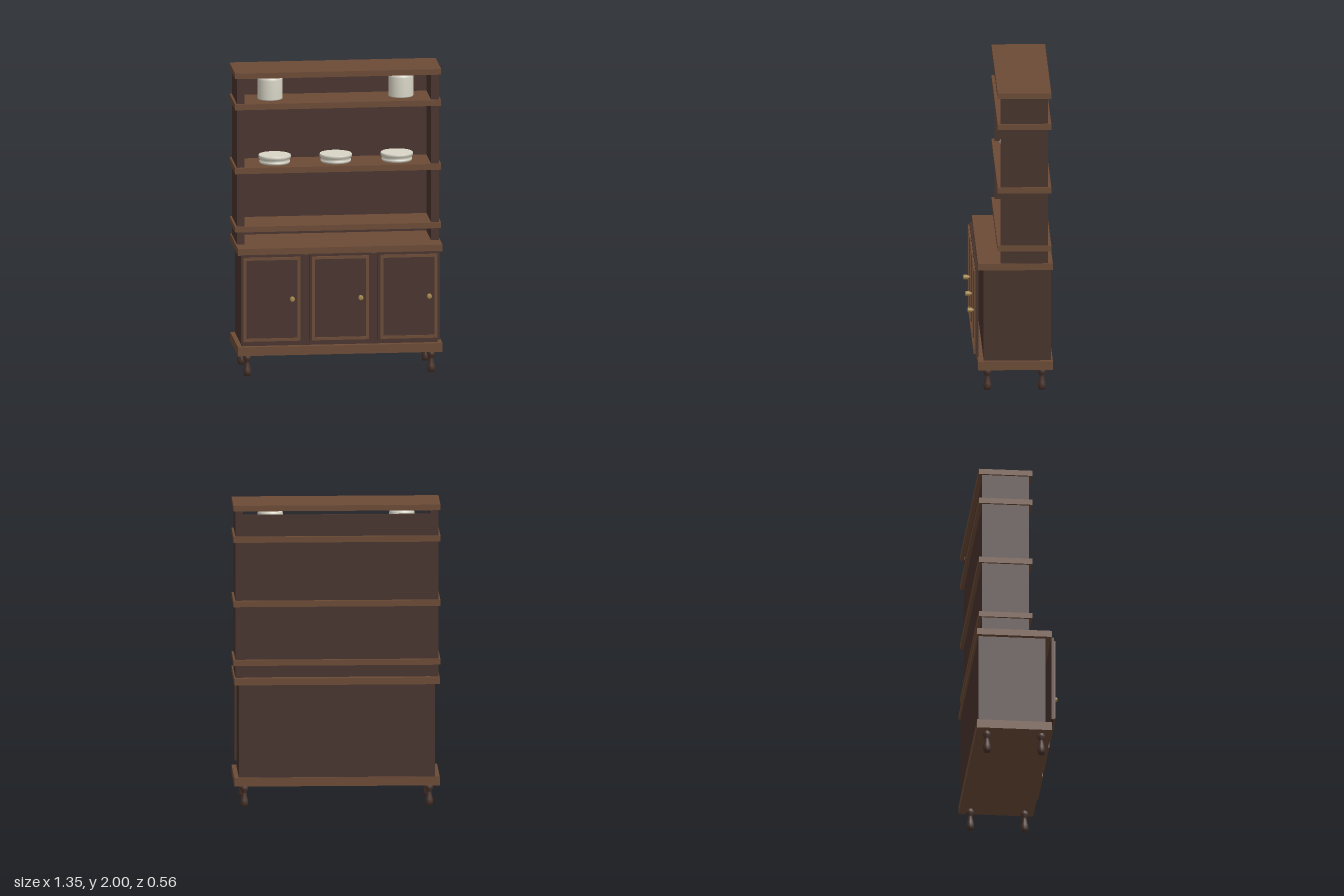
import * as THREE from 'three';

export function createModel() {
  const root = new THREE.Group();
  root.name = 'dresser';
  const mat = (color, opts = {}) => new THREE.MeshStandardMaterial({ color, ...opts });
  const lightWood = mat(0x6b4a35);
  const darkWood = mat(0x47322b);
  const brass = mat(0xa3854a);
  const ceramic = mat(0xd8d5c6);

  const add = (name, geo, material, x = 0, y = 0, z = 0, parent = root) => {
    const m = new THREE.Mesh(geo, material);
    m.name = name;
    m.position.set(x, y, z);
    parent.add(m);
    return m;
  };
  // Box given by its minimum and maximum on each axis
  const box = (name, material, [x0, x1], [y0, y1], [z0, z1], parent = root) =>
    add(name, new THREE.BoxGeometry(x1 - x0, y1 - y0, z1 - z0), material,
      (x0 + x1) / 2, (y0 + y1) / 2, (z0 + z1) / 2, parent);
  const lathe = (points, sides) =>
    new THREE.LatheGeometry(points.map(([r, y]) => new THREE.Vector2(r, y)), sides);

  // Lower cabinet: plinth, body, counter
  box('plinth', lightWood, [-0.67, 0.67], [0.143, 0.201], [-0.278, 0.21]);
  box('cabinetBody', darkWood, [-0.64, 0.64], [0.201, 0.813], [-0.267, 0.172]);
  box('counter', lightWood, [-0.67, 0.67], [0.813, 0.857], [-0.278, 0.21]);

  // Upper hutch: sides, back, shelves and top board
  for (const s of [-1, 1]) {
    add('hutchSide', new THREE.BoxGeometry(0.051, 1.108, 0.309), darkWood, s * 0.636, 1.411, -0.0915);
  }
  box('hutchBack', darkWood, [-0.62, 0.62], [0.86, 1.933], [-0.245, -0.222]);
  for (const [name, y0, y1] of [['lowerShelf', 0.94, 0.977], ['middleShelf', 1.329, 1.368],
    ['upperShelf', 1.755, 1.793], ['topBoard', 1.963, 2.0]]) {
    box(name, lightWood, [-0.675, 0.675], [y0, y1], [-0.268, 0.082]);
  }

  // Turned legs
  const legGeo = lathe([[0, 0], [0.022, 0], [0.026, 0.025], [0.024, 0.045], [0.015, 0.085],
    [0.018, 0.097], [0.027, 0.115], [0.026, 0.13], [0.02, 0.145]], 12);
  for (const x of [-0.603, 0.603]) {
    for (const z of [-0.208, 0.147]) add('leg', legGeo, darkWood, x, 0, z);
  }

  // Doors: backing panel, raised frame, knob
  const rect = (shape, w, h) => shape.moveTo(-w, -h).lineTo(w, -h).lineTo(w, h).lineTo(-w, h).closePath();
  const frameShape = rect(new THREE.Shape(), 0.187, 0.279);
  frameShape.holes.push(rect(new THREE.Path(), 0.167, 0.261));
  const frameGeo = new THREE.ExtrudeGeometry(frameShape, { depth: 0.013, bevelEnabled: false });
  const knobGeo = lathe([[0, 0], [0.009, 0], [0.009, 0.02], [0.015, 0.022], [0.016, 0.03],
    [0.016, 0.048], [0.013, 0.052], [0, 0.052]], 12).rotateX(Math.PI / 2);
  for (const x of [-0.449, 0, 0.449]) {
    const door = new THREE.Group();
    door.name = 'door';
    door.position.set(x, 0.523, 0);
    root.add(door);
    box('doorPanel', darkWood, [-0.203, 0.203], [-0.293, 0.293], [0.208, 0.226], door);
    add('doorFrame', frameGeo, lightWood, 0, 0, 0.225, door);
    box('doorInset', darkWood, [-0.156, 0.156], [-0.25, 0.25], [0.225, 0.23], door);
    add('knob', knobGeo, brass, 0.13, 0.004, 0.225, door);
  }

  // Stacked dishes on the middle shelf
  const dishGeo = lathe([[0, 0], [0.095, 0], [0.101, 0.008], [0.101, 0.016], [0.092, 0.026],
    [0.106, 0.036], [0.107, 0.05], [0.104, 0.055], [0.104, 0.055], [0, 0.055]], 32);
  for (const x of [-0.4, 0, 0.4]) add('dish', dishGeo, ceramic, x, 1.368, -0.07);

  // Jars on the upper shelf
  const jarGeo = lathe([[0, 0], [0.08, 0], [0.082, 0.006], [0.082, 0.13], [0.079, 0.142],
    [0.066, 0.162], [0.066, 0.168], [0, 0.168]], 28);
  for (const x of [-0.429, 0.429]) add('jar', jarGeo, ceramic, x, 1.793, -0.09);

  return root;
}
